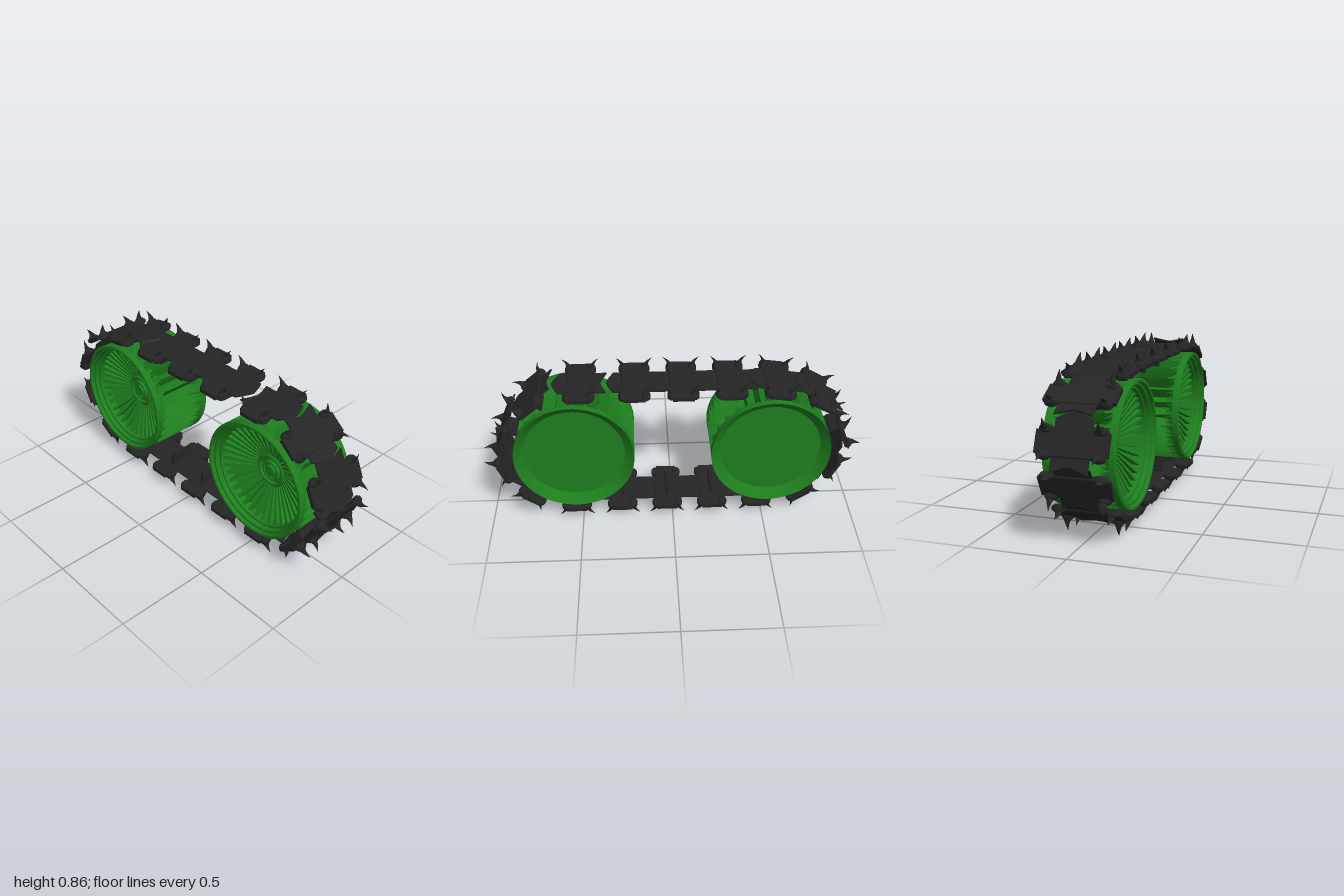
import * as THREE from 'three';
import { toCreasedNormals } from 'three/addons/utils/BufferGeometryUtils.js';

const green = new THREE.MeshStandardMaterial({ color: 0x1e7d1e });
const black = new THREE.MeshStandardMaterial({ color: 0x252525 });

function add(parent, name, geometry, material, x = 0, y = 0, z = 0) {
  const mesh = new THREE.Mesh(geometry, material);
  mesh.name = name;
  mesh.position.set(x, y, z);
  parent.add(mesh);
  return mesh;
}

// Profile of [radius, z] pairs turned about the wheel axle
function turned(profile, segments) {
  const points = profile.map(([r, z]) => new THREE.Vector2(r, z));
  return new THREE.LatheGeometry(points, segments).rotateX(Math.PI / 2);
}

const TEETH = 28;
const SPOKES = 36;

// Wheel body: shallow dish at the back, toothed middle band, deep conical dish in front
function wheelBodyGeometry() {
  const g = turned([
    [0, -0.135], [0.27, -0.135], [0.32, -0.18], [0.32, -0.145],
    [0.32, -0.095], [0.32, 0.095], [0.32, 0.145], [0.32, 0.175], [0.315, 0.18],
    [0.303, 0.18], [0.298, 0.16], [0.288, 0.16], [0.282, 0.135],
    [0.272, 0.135], [0.268, 0.08], [0.09, 0.005], [0, 0.005],
  ], TEETH * 4);
  // columns of the middle band fall to a valley between neighbouring teeth
  const p = g.attributes.position;
  for (let i = 0; i < p.count; i++) {
    const x = p.getX(i), y = p.getY(i);
    if (Math.hypot(x, y) < 0.31 || Math.abs(p.getZ(i)) > 0.1) continue;
    const column = Math.round((Math.atan2(y, x) / Math.PI + 1) * TEETH * 2) % 4;
    const k = 1 - 0.19 * [0, 0.5, 1, 0.5][column];
    p.setX(i, x * k);
    p.setY(i, y * k);
  }
  return toCreasedNormals(g, 0.3);
}

// Tapered spoke running outwards along +x, rising with the conical dish
function spokeGeometry() {
  const g = new THREE.BoxGeometry(0.19, 0.02, 0.04).translate(0.178, 0, 0);
  const p = g.attributes.position;
  for (let i = 0; i < p.count; i++) {
    const inner = p.getX(i) < 0.1;
    if (inner) p.setY(i, p.getY(i) * 0.5);
    p.setZ(i, p.getZ(i) + (inner ? 0.02 : 0.1));
  }
  g.computeVertexNormals();
  return g;
}

const body = wheelBodyGeometry();
const spoke = spokeGeometry();
const hub = toCreasedNormals(turned([
  [0.095, 0], [0.095, 0.042], [0.085, 0.05], [0.075, 0.05], [0.068, 0.038],
  [0.058, 0.038], [0.054, 0.052], [0.044, 0.052], [0.04, 0.042], [0, 0.042],
], 32), 0.4);
const nut = new THREE.CylinderGeometry(0.034, 0.036, 0.025, 6).rotateX(Math.PI / 2);

function createWheel(name, x) {
  const wheel = new THREE.Group();
  wheel.name = name;
  wheel.position.set(x, 0.435, 0);
  add(wheel, 'wheelBody', body, green);
  for (let i = 0; i < SPOKES; i++) {
    add(wheel, 'spoke', spoke, green).rotation.z = (i + 0.5) * 2 * Math.PI / SPOKES;
  }
  add(wheel, 'hub', hub, green);
  add(wheel, 'hubNut', nut, green, 0, 0, 0.045);
  return wheel;
}

// Thin link plate with a pointed leading end and a notched trailing end
function plateGeometry() {
  const s = new THREE.Shape();
  s.moveTo(-0.14, -0.092);
  s.lineTo(0.11, -0.092);
  s.quadraticCurveTo(0.138, -0.035, 0.148, 0);
  s.quadraticCurveTo(0.138, 0.035, 0.11, 0.092);
  s.lineTo(-0.14, 0.092);
  s.quadraticCurveTo(-0.114, 0.035, -0.107, 0);
  s.quadraticCurveTo(-0.114, -0.035, -0.14, -0.092);
  return new THREE.ExtrudeGeometry(s, { depth: 0.008, bevelEnabled: false, curveSegments: 4 })
    .rotateX(Math.PI / 2).translate(0, 0.004, 0);
}

// Flattened spike that hooks over towards +x at its tip
function clawGeometry() {
  const height = 0.055;
  const g = new THREE.CylinderGeometry(0.001, 0.024, height, 10, 6)
    .translate(0, height / 2, 0).scale(0.65, 1, 1);
  const p = g.attributes.position;
  for (let i = 0; i < p.count; i++) {
    const t = p.getY(i) / height;
    p.setX(i, p.getX(i) + 0.036 * t * t);
  }
  g.computeVertexNormals();
  return g;
}

const plate = plateGeometry();
const pad = new THREE.BoxGeometry(0.12, 0.016, 0.2);
const sideBlock = new THREE.BoxGeometry(0.11, 0.02, 0.078);
const clawBase = toCreasedNormals(new THREE.LatheGeometry(
  [[0, -0.016], [0.026, -0.016], [0.035, -0.008], [0.035, 0.006], [0.028, 0.018], [0.016, 0.026], [0, 0.028]]
    .map(([r, y]) => new THREE.Vector2(r, y)), 14).scale(0.65, 1, 1), 0.6);
const claw = clawGeometry();
const crossBar = new THREE.CylinderGeometry(0.009, 0.009, 0.2, 8).rotateX(Math.PI / 2);
const guide = new THREE.BoxGeometry(0.012, 0.08, 0.14);
const guideBead = new THREE.CylinderGeometry(0.011, 0.011, 0.14, 8).rotateX(Math.PI / 2);

// Track link: x runs along the track, y points away from the wheels
function createLink(x, y, degrees) {
  const link = new THREE.Group();
  link.name = 'trackLink';
  link.position.set(x, y, 0);
  link.rotation.z = THREE.MathUtils.degToRad(degrees);
  add(link, 'plate', plate, black);
  add(link, 'pad', pad, black, 0, 0.002, 0);
  add(link, 'guide', guide, black, 0, -0.04, 0);
  add(link, 'guideBead', guideBead, black, 0, -0.05, 0);
  for (const end of [1, -1]) {
    add(link, 'crossBar', crossBar, black, end * 0.06, 0.002, 0);
    for (const side of [1, -1]) {
      add(link, 'clawBase', clawBase, black, end * 0.06, 0, side * 0.132);
      const spike = add(link, 'claw', claw, black, end * 0.06, 0.012, side * 0.132);
      if (end < 0) spike.rotation.y = Math.PI;
    }
  }
  for (const side of [1, -1]) {
    add(link, 'sideBlock', sideBlock, black, 0, 0, side * 0.138);
  }
  return link;
}

export function createModel() {
  const model = new THREE.Group();
  model.name = 'trackAssembly';
  model.add(createWheel('leftWheel', 0.525), createWheel('rightWheel', -0.525));

  const track = new THREE.Group();
  track.name = 'track';
  model.add(track);
  // top and bottom runs
  for (const x of [-0.305, -0.055, 0.195, 0.48]) track.add(createLink(x, 0.792, 0));
  for (const x of [-0.47, -0.22, 0.03, 0.28, 0.535]) track.add(createLink(x, 0.072, 180));
  // links wrapping round both ends: x, y, angle
  const wrapped = [
    [0.735, 0.735, -40], [0.895, 0.547, -66], [0.91, 0.332, -113], [0.775, 0.147, -145],
    [-0.555, 0.785, 8], [-0.78, 0.711, 30], [-0.913, 0.515, 68], [-0.877, 0.3, 117], [-0.71, 0.125, 147],
  ];
  for (const [x, y, degrees] of wrapped) track.add(createLink(x, y, degrees));
  return model;
}
